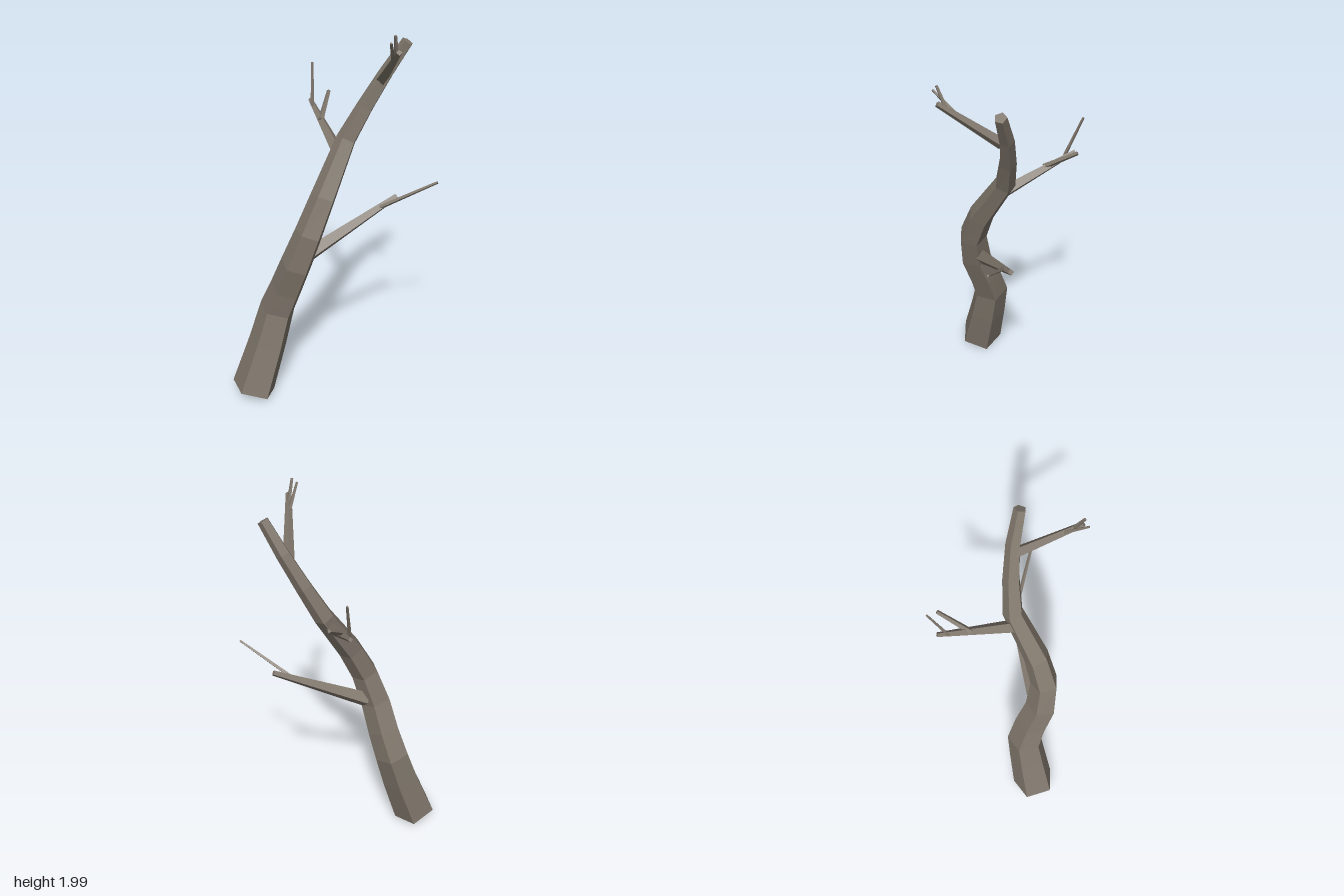
import * as THREE from 'three';

const bark = new THREE.MeshStandardMaterial({ color: 0x80776c, flatShading: true });
bark.name = 'bark';

// Closed tapering limb through rings [x, y, z, radius], each set square to the path
function limb(name, rings, sides, ref) {
  const centres = rings.map(r => new THREE.Vector3(r[0], r[1], r[2]));
  const last = rings.length - 1;
  const loops = rings.map((ring, i) => {
    const t = centres[Math.min(i + 1, last)].clone().sub(centres[Math.max(i - 1, 0)]).normalize();
    const u = ref.clone().addScaledVector(t, -ref.dot(t)).normalize();
    const v = new THREE.Vector3().crossVectors(t, u);
    return Array.from({ length: sides }, (_, k) => {
      const a = (k / sides) * Math.PI * 2;
      return centres[i].clone()
        .addScaledVector(u, Math.cos(a) * ring[3])
        .addScaledVector(v, Math.sin(a) * ring[3]);
    });
  });
  const points = [];
  for (let k = 0; k < sides; k++) {
    const n = (k + 1) % sides;
    for (let i = 0; i < last; i++) {
      const a = loops[i], b = loops[i + 1];
      points.push(a[k], a[n], b[n], a[k], b[n], b[k]);
    }
    // End caps
    points.push(centres[0], loops[0][n], loops[0][k]);
    points.push(centres[last], loops[last][k], loops[last][n]);
  }
  const geometry = new THREE.BufferGeometry().setFromPoints(points);
  geometry.computeVertexNormals();
  const mesh = new THREE.Mesh(geometry, bark);
  mesh.name = name;
  return mesh;
}

export function createModel() {
  const tree = new THREE.Group();
  tree.name = 'bareTree';

  // Leaning, winding five-sided trunk
  tree.add(limb('trunk', [
    [-0.42, 0.045, 0.195, 0.12],
    [-0.335, 0.31, 0.152, 0.105],
    [-0.28, 0.505, 0.125, 0.095],
    [-0.228, 0.65, 0.155, 0.088],
    [-0.177, 0.81, 0.2, 0.083],
    [-0.113, 0.985, 0.208, 0.074],
    [-0.04, 1.155, 0.158, 0.066],
    [0.08, 1.41, 0.034, 0.052],
    [0.172, 1.575, 0.02, 0.043],
    [0.267, 1.74, 0.022, 0.036],
    [0.358, 1.895, 0.045, 0.029],
  ], 5, new THREE.Vector3(0, 0, -1)));

  // Each branch and twig: start with radius, end with radius
  const branches = {
    lowBranch: [[-0.125, 0.838, 0.163, 0.044], [0.34, 1.08, 0.003, 0.016]],
    lowTwig: [[0.24, 1.03, 0.037, 0.012], [0.527, 1.2, 0.104, 0.007]],
    backBranch: [[0.04, 1.345, 0.035, 0.034], [-0.083, 1.498, -0.305, 0.012]],
    backInnerTwig: [[-0.037, 1.44, -0.155, 0.015], [0.012, 1.54, -0.31, 0.01]],
    backOuterTwig: [[-0.075, 1.482, -0.255, 0.009], [-0.07, 1.685, -0.336, 0.006]],
    frontBranch: [[0.245, 1.712, 0.04, 0.028], [0.282, 1.922, 0.315, 0.014]],
    frontUpperTwig: [[0.277, 1.89, 0.275, 0.011], [0.263, 1.997, 0.315, 0.007]],
    frontOuterTwig: [[0.267, 1.87, 0.24, 0.01], [0.243, 1.97, 0.335, 0.006]],
  };
  const up = new THREE.Vector3(0, 1, 0);
  for (const [name, rings] of Object.entries(branches)) tree.add(limb(name, rings, 4, up));

  return tree;
}
